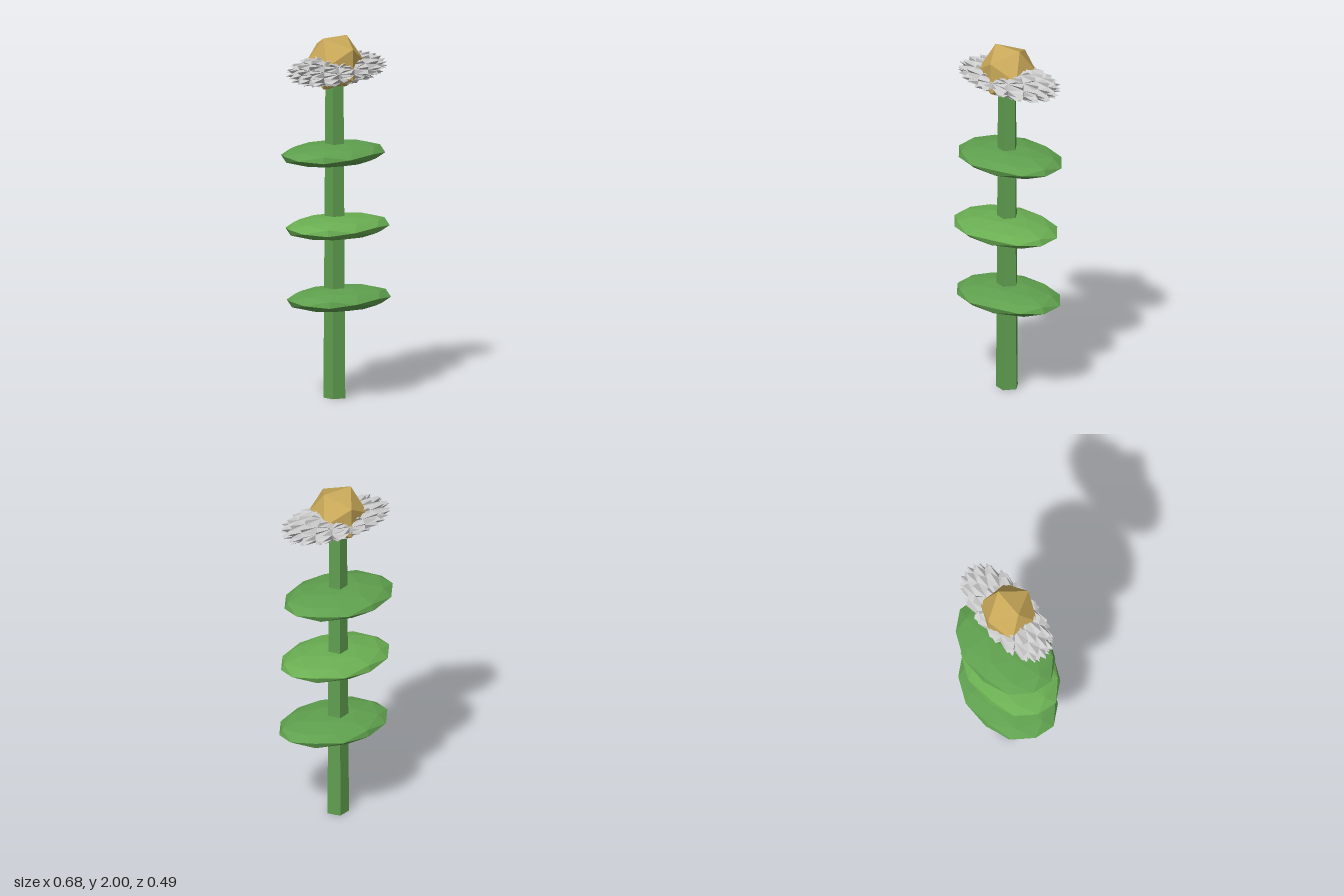
import * as THREE from 'three';

const CX = -0.0125; // axis of the stem

function addPart(group, name, geometry, color) {
  geometry.computeVertexNormals();
  const material = new THREE.MeshStandardMaterial({ color, flatShading: true });
  const mesh = new THREE.Mesh(geometry, material);
  mesh.name = name;
  group.add(mesh);
  return mesh;
}

// Flattened faceted ball with a twelve-cornered rim
function leafGeometry() {
  const g = new THREE.IcosahedronGeometry(1, 1);
  const tilt = new THREE.Quaternion().setFromUnitVectors(
    new THREE.Vector3(1, 1, 1).normalize(), new THREE.Vector3(0, 1, 0));
  g.applyQuaternion(tilt);
  g.rotateY(0.136);
  g.scale(0.331, 0.064, 0.236);
  return g;
}

// Ball whose every facet is raised into a spike swept towards the ends
function spikyGeometry(rx, ry, rz) {
  const base = new THREE.IcosahedronGeometry(1, 2).getAttribute('position');
  const out = [];
  for (let i = 0; i < base.count; i += 3) {
    const c = [0, 1, 2].map(k =>
      new THREE.Vector3().fromBufferAttribute(base, i + k).multiplyScalar(0.88));
    const tip = new THREE.Vector3().add(c[0]).add(c[1]).add(c[2]).normalize();
    tip.x += 0.16 * tip.x * (1 - tip.x * tip.x);
    for (let k = 0; k < 3; k++) {
      for (const v of [c[k], c[(k + 1) % 3], tip]) out.push(v.x * rx, v.y * ry, v.z * rz);
    }
  }
  const g = new THREE.BufferGeometry();
  g.setAttribute('position', new THREE.Float32BufferAttribute(out, 3));
  return g;
}

export function createModel() {
  const model = new THREE.Group();
  model.name = 'flower';

  // Five-sided tapering stem with a corner towards +x
  const stem = new THREE.CylinderGeometry(0.053, 0.064, 1.78, 5);
  stem.rotateY(Math.PI / 2);
  addPart(model, 'stem', stem, 0x5f9e50).position.set(CX, 0.89, 0);

  // Leaves spaced up the stem, each shifted a little off its axis
  const leaves = [
    [0.005, 0.55, 0.0125, 0x5fa04e],
    [-0.01, 0.95, 0.0175, 0x6aae52],
    [-0.01, 1.35, -0.0175, 0x5fa04e],
  ];
  for (const [x, y, z, color] of leaves) {
    addPart(model, 'leaf', leafGeometry(), color).position.set(x, y, z);
  }

  // Ruff of petals and the faceted centre of the bloom
  addPart(model, 'petals', spikyGeometry(0.342, 0.092, 0.163), 0xcccccc).position.set(0, 1.82, 0);
  addPart(model, 'bloomCentre', new THREE.IcosahedronGeometry(0.167, 0), 0xc9a959)
    .position.set(CX, 1.858, 0);

  return model;
}
